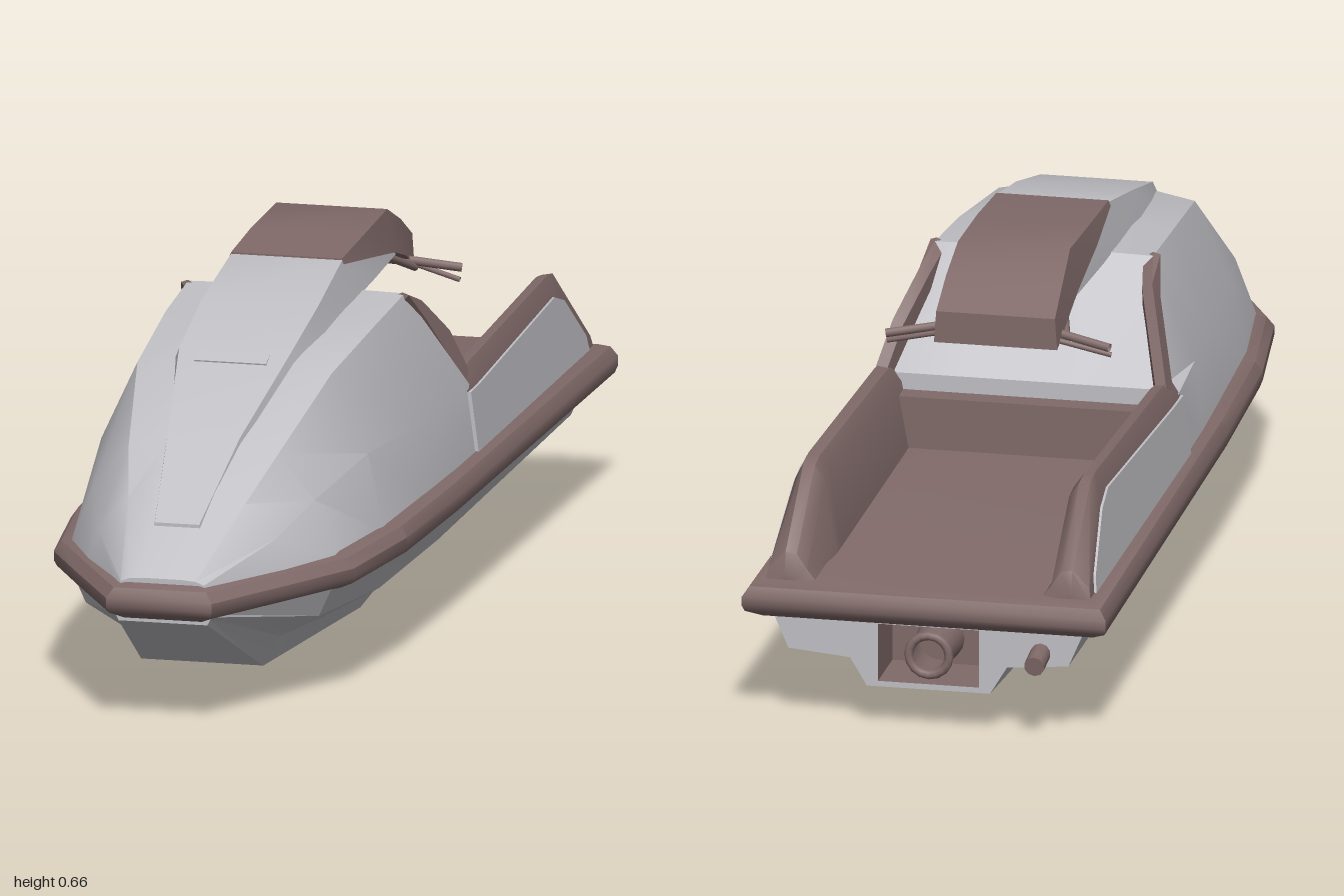
import * as THREE from 'three';
import { toCreasedNormals } from 'three/addons/utils/BufferGeometryUtils.js';

const grey = new THREE.MeshStandardMaterial({ color: 0xbfbfc4, side: THREE.DoubleSide });
grey.name = 'light grey';
const brown = new THREE.MeshStandardMaterial({ color: 0x806a69, side: THREE.DoubleSide });
brown.name = 'mauve brown';

// Skin a list of equal-length closed rings of [x, y, z]; faces are turned outward.
function loft(rings, { capStart = true, capEnd = true, crease = 0.45 } = {}) {
  const n = rings[0].length, pos = rings.flat(2), idx = [];
  for (let r = 0; r < rings.length - 1; r++) {
    for (let i = 0; i < n; i++) {
      const a = r * n + i, b = r * n + (i + 1) % n;
      idx.push(a, b, a + n, b, b + n, a + n);
    }
  }
  const cap = (r, flip) => {
    const c = pos.length / 3;
    for (let k = 0; k < 3; k++) pos.push(rings[r].reduce((s, p) => s + p[k], 0) / n);
    for (let i = 0; i < n; i++) {
      const a = r * n + i, b = r * n + (i + 1) % n;
      idx.push(...(flip ? [b, a, c] : [a, b, c]));
    }
  };
  if (capStart) cap(0, true);
  if (capEnd) cap(rings.length - 1, false);
  const at = i => new THREE.Vector3(pos[3 * i], pos[3 * i + 1], pos[3 * i + 2]);
  const mid = new THREE.Vector3();
  for (let i = 0; i < pos.length / 3; i++) mid.add(at(i));
  mid.multiplyScalar(3 / pos.length);
  let volume = 0;
  for (let i = 0; i < idx.length; i += 3) {
    const [a, b, c] = [0, 1, 2].map(k => at(idx[i + k]).sub(mid));
    volume += a.dot(b.cross(c));
  }
  if (volume < 0) idx.reverse();
  const g = new THREE.BufferGeometry();
  g.setAttribute('position', new THREE.Float32BufferAttribute(pos, 3));
  g.setIndex(idx);
  return toCreasedNormals(g, crease);
}

// Full ring from a half profile of [x, y] at depth z.
const symmetric = (z, half) => [
  ...half.map(([x, y]) => [x, y, z]),
  ...half.slice().reverse().map(([x, y]) => [-x, y, z]),
];

export function createModel() {
  const model = new THREE.Group();
  const add = (name, geo, mat) => {
    const m = new THREE.Mesh(geo, mat);
    m.name = name;
    model.add(m);
    return m;
  };
  const rod = (name, a, b, r, mat) => add(name, new THREE.TubeGeometry(
    new THREE.LineCurve3(new THREE.Vector3(...a), new THREE.Vector3(...b)), 1, r, 8), mat);

  // Lower hull with a flat keel and hard chines
  const stern = [[0.28, 0.205], [0.25, 0.135], [0.14, 0.125], [0.11, 0.075]];
  add('hull', loft([
    symmetric(-0.945, stern),
    symmetric(0, [[0.29, 0.205], [0.25, 0.13], [0.145, 0.06], [0.11, 0]]),
    symmetric(0.4, [[0.28, 0.205], [0.245, 0.135], [0.14, 0.075], [0.11, 0.032]]),
    symmetric(0.69, [[0.235, 0.205], [0.21, 0.15], [0.14, 0.11], [0.11, 0.055]]),
    symmetric(0.97, [[0.09, 0.21], [0.09, 0.205], [0.085, 0.2], [0.08, 0.19]]),
  ], { capStart: false, crease: 0.3 }), grey);

  // Transom with the square jet opening
  const transom = new THREE.Shape(symmetric(0, stern).map(([x, y]) => new THREE.Vector2(x, y)));
  transom.holes.push(new THREE.Path([[-0.09, 0.085], [-0.09, 0.19], [0.09, 0.19], [0.09, 0.085]]
    .map(p => new THREE.Vector2(...p))));
  const transomGeo = new THREE.ShapeGeometry(transom).rotateY(Math.PI).translate(0, 0, -0.945);
  add('transom', transomGeo, grey);

  // Inward-facing recess, open to the rear
  const recess = new THREE.BoxGeometry(0.18, 0.105, 0.12);
  recess.setIndex(Array.from(recess.index.array).slice(0, 30).reverse());
  recess.computeVertexNormals();
  add('jetRecess', recess.translate(0, 0.1375, -0.885), brown);

  // Jet nozzle and small side outlet
  add('jetNozzle', new THREE.CylinderGeometry(0.042, 0.034, 0.1, 16, 1, true)
    .rotateX(Math.PI / 2).translate(0, 0.137, -0.89), brown);
  add('nozzleRing', new THREE.TorusGeometry(0.036, 0.008, 8, 16).translate(0, 0.137, -0.942), brown);
  add('sideOutlet', new THREE.CylinderGeometry(0.018, 0.018, 0.07, 10)
    .rotateX(Math.PI / 2 - 0.15).translate(-0.2, 0.153, -0.963), brown);

  // Bumper rim around the boat; its upper face is the footwell floor
  const outline = [[0.095, 1], [0.2, 0.81], [0.27, 0.68], [0.303, 0.43], [0.314, 0.1], [0.325, -0.985]];
  const rimRing = (y, dx, dz) => [
    ...outline.map(([x, z]) => [x - dx, y, z - Math.sign(z) * dz]),
    ...outline.slice().reverse().map(([x, z]) => [dx - x, y, z - Math.sign(z) * dz]),
  ];
  add('bumperRim', loft([
    rimRing(0.193, 0.03, 0.035), rimRing(0.208, 0.004, 0.008), rimRing(0.22, 0, 0),
    rimRing(0.236, 0, 0), rimRing(0.254, 0.012, 0.008), rimRing(0.261, 0.03, 0.025),
  ], { crease: 0.6 }), brown);

  // Front deck and cowl, sloping down again into the footwell
  const deck = [
    [0.975, [[0.08, 0.24], [0.075, 0.262], [0.06, 0.268], [0.035, 0.27]]],
    [0.8, [[0.18, 0.25], [0.16, 0.31], [0.105, 0.37], [0.05, 0.385]]],
    [0.68, [[0.24, 0.25], [0.2, 0.355], [0.135, 0.435], [0.06, 0.45]]],
    [0.46, [[0.27, 0.25], [0.24, 0.39], [0.175, 0.53], [0.09, 0.547]]],
    [0.2, [[0.28, 0.25], [0.26, 0.38], [0.19, 0.56], [0.1, 0.567]]],
    [0.02, [[0.286, 0.25], [0.269, 0.385], [0.195, 0.573], [0.1, 0.575]]],
    [-0.15, [[0.288, 0.25], [0.272, 0.37], [0.24, 0.385], [0.1, 0.385]]],
  ];
  add('frontDeck', loft(deck.map(([z, h]) => symmetric(z, h)), { crease: 0.5 }), grey);

  // Raised hood running up the deck and under the steering pole
  const hood = [
    // z, bottom half width, bottom, top half width, top
    [0.87, 0.045, 0.32, 0.04, 0.345],
    [0.68, 0.07, 0.42, 0.065, 0.458],
    [0.46, 0.115, 0.52, 0.1, 0.56],
    [0.28, 0.12, 0.55, 0.105, 0.605],
    [0.09, 0.12, 0.57, 0.1, 0.643],
    [-0.05, 0.12, 0.575, 0.108, 0.625],
    [-0.25, 0.11, 0.575, 0.108, 0.592],
  ];
  const strip = rows => rows.map(([z, wb, b, wt, t]) => symmetric(z, [[wb, b], [wt, t]]));
  add('hood', loft(strip(hood)), grey);
  add('hoodLatch', new THREE.BoxGeometry(0.13, 0.008, 0.035)
    .rotateX(0.35).translate(0, 0.55, 0.475), grey);

  // Padded cover of the steering pole
  add('poleCover', loft(strip([
    [0.09, 0.104, 0.636, 0.1, 0.646],
    [-0.06, 0.112, 0.613, 0.102, 0.655],
    [-0.23, 0.114, 0.584, 0.1, 0.661],
    [-0.31, 0.114, 0.56, 0.104, 0.625],
    [-0.385, 0.11, 0.525, 0.106, 0.582],
  ]), { crease: 0.6 }), brown);

  // Step at the front of the footwell
  add('footwellStep', new THREE.BoxGeometry(0.46, 0.1, 0.06).translate(0, 0.305, -0.16), brown);

  for (const s of [1, -1]) {
    const side = s > 0 ? 'left' : 'right';
    const wallX = y => 0.29 - (y - 0.26) * 0.13;

    // Gunwale beside the footwell
    const gunwale = [[-0.12, 0.395], [-0.2, 0.406], [-0.75, 0.43], [-0.79, 0.425], [-0.94, 0.31], [-0.95, 0.27]];
    add(side + 'Gunwale', loft(gunwale.map(([z, t]) => [
      [0.29, 0.25], [wallX(t - 0.02), Math.max(t - 0.03, 0.252)], [0.256, t],
      [0.236, t - 0.004], [0.218, Math.max(t - 0.03, 0.251)], [0.195, 0.25],
    ].map(([x, y]) => [s * x, y, z])), { crease: 0.7 }), brown);

    // Thin grey panel on the outside of the gunwale
    const panel = [[-0.12, 0.262], [-0.12, 0.368], [-0.2, 0.37], [-0.73, 0.397], [-0.79, 0.378], [-0.9, 0.29], [-0.91, 0.262]];
    add(side + 'SidePanel', loft([0.003, -0.005].map(d =>
      panel.map(([z, y]) => [s * (wallX(y) + d), y, z]))), grey);

    // Trim fin along the rear edge of the cowl
    const fin = [[0.03, 0.577, 0.193, 0.004], [-0.05, 0.545, 0.208, 0.03],
      [-0.13, 0.475, 0.238, 0.05], [-0.18, 0.39, 0.262, 0.03]];
    add(side + 'CowlFin', loft(fin.map(([z, y, x, d]) => [
      [s * x, y, z], [s * (x + 0.012), y - d, z + d * 0.5],
      [s * (x - 0.02), y - d - 0.04, z + d * 0.5], [s * (x - 0.018), y - 0.01, z],
    ])), brown);

    // Handlebar grip, lever and stem
    rod(side + 'Grip', [s * 0.06, 0.55, -0.335], [s * 0.2, 0.53, -0.368], 0.008, brown);
    rod(side + 'Lever', [s * 0.09, 0.54, -0.365], [s * 0.2, 0.512, -0.352], 0.005, brown);
    rod(side + 'BarStem', [s * 0.09, 0.575, -0.24], [s * 0.12, 0.53, -0.35], 0.007, brown);
  }
  return model;
}
